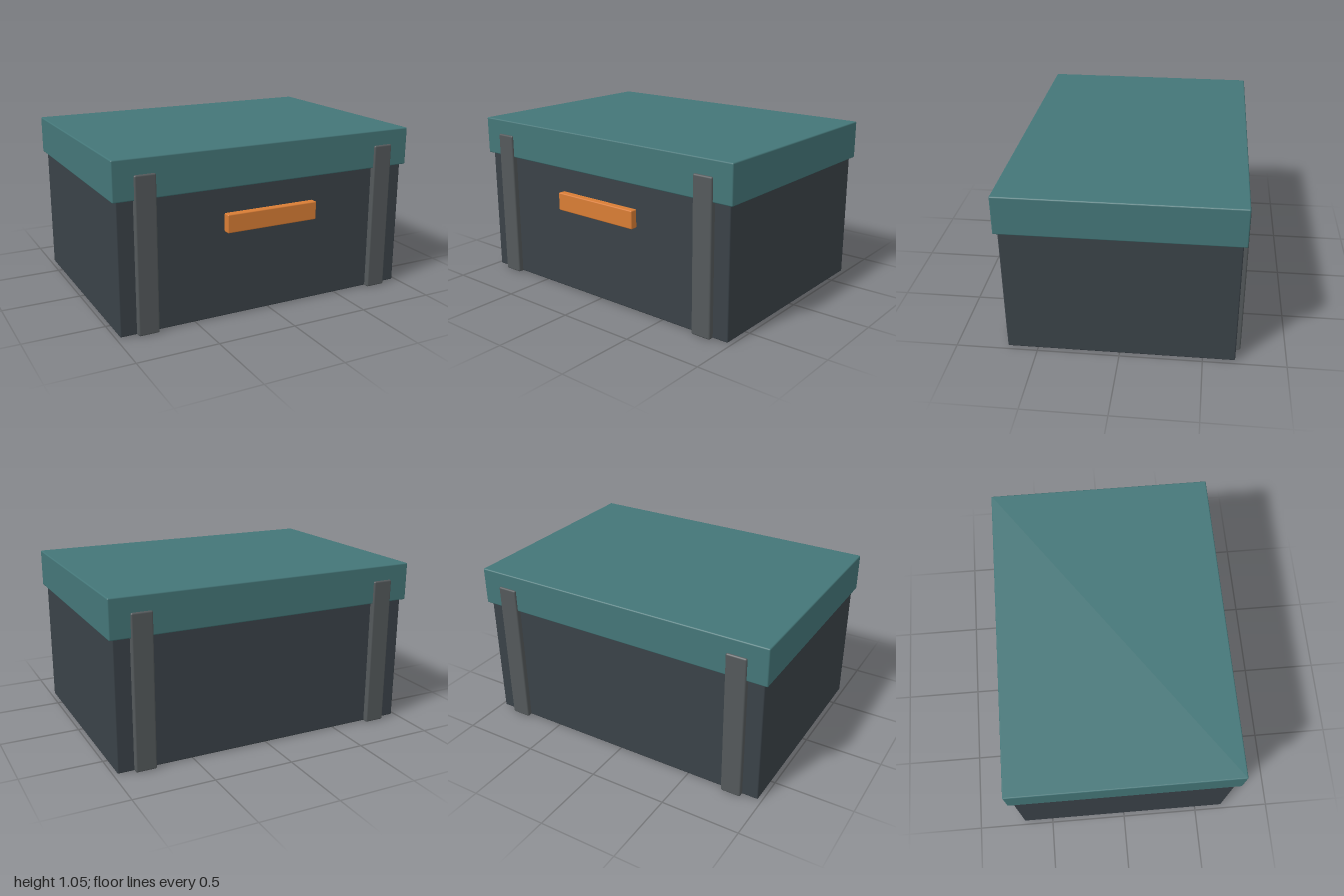
import * as THREE from 'three';
import { RoundedBoxGeometry } from 'three/addons/geometries/RoundedBoxGeometry.js';

// Softly edged box given by its extents on each axis
function block(name, color, [x0, x1], [y0, y1], [z0, z1], radius) {
  const mesh = new THREE.Mesh(
    new RoundedBoxGeometry(x1 - x0, y1 - y0, z1 - z0, 2, radius),
    new THREE.MeshStandardMaterial({ color })
  );
  mesh.position.set((x0 + x1) / 2, (y0 + y1) / 2, (z0 + z1) / 2);
  mesh.name = name;
  return mesh;
}

export function createModel() {
  const model = new THREE.Group();
  model.name = 'storageBox';

  // Container and overhanging lid
  model.add(block('body', 0x3a4248, [-0.975, 0.975], [0.002, 0.83], [-0.695, 0.686], 0.008));
  model.add(block('lid', 0x447678, [-1, 1], [0.81, 1.05], [-0.717, 0.708], 0.008));

  // Straps running under the box and up the front and back
  for (const [name, side] of [['leftStrap', 1], ['rightStrap', -1]]) {
    const x = side * 0.808;
    model.add(block(name, 0x54595b, [x - 0.065, x + 0.065], [0, 0.955], [-0.728, 0.72], 0.01));
  }

  // Flat grip on the front
  model.add(block('frontHandle', 0xd97d35, [-0.306, 0.306], [0.54, 0.655], [0.68, 0.73], 0.007));

  return model;
}
